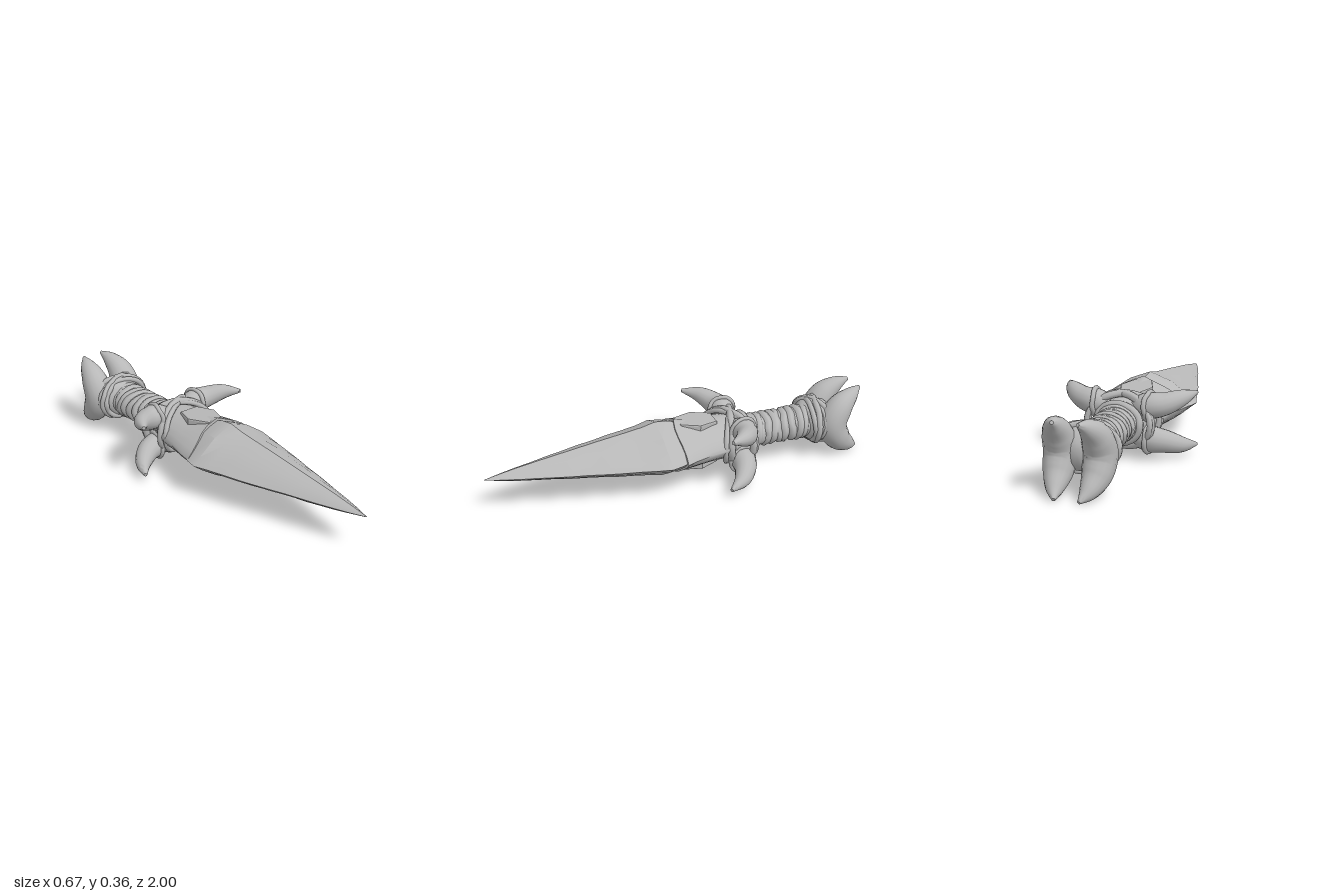
import * as THREE from 'three';
import { toCreasedNormals } from 'three/addons/utils/BufferGeometryUtils.js';

const stone = new THREE.MeshStandardMaterial({ color: 0xb8b8b8 });
stone.name = 'grey stone';

// Seeded noise in -1..1
let seed = 7;
const rand = () => {
  seed = (seed * 16807) % 2147483647;
  return (seed / 2147483647) * 2 - 1;
};
const V = (x, y, z) => new THREE.Vector3(x, y, z);

// Closed skin over equal-length rings of points
function skin(rings, crease) {
  const n = rings[0].length, last = rings.length - 1;
  const pos = [], idx = [];
  rings.forEach((ring) => ring.forEach((p) => pos.push(p.x, p.y, p.z)));
  for (let i = 0; i < last; i++) {
    for (let j = 0; j < n; j++) {
      const k = (j + 1) % n, a = i * n + j, b = i * n + k;
      idx.push(a, b, a + n, b, b + n, a + n);
    }
  }
  [0, last].forEach((r) => {
    const c = rings[r].reduce((s, p) => s.add(p), V(0, 0, 0)).divideScalar(n);
    const ci = pos.length / 3;
    pos.push(c.x, c.y, c.z);
    for (let j = 0; j < n; j++) {
      const a = r * n + j, b = r * n + ((j + 1) % n);
      idx.push(ci, r ? a : b, r ? b : a);
    }
  });
  const g = new THREE.BufferGeometry();
  g.setAttribute('position', new THREE.Float32BufferAttribute(pos, 3));
  g.setIndex(idx);
  return toCreasedNormals(g, crease);
}

// Superellipse ring: p = 1 is a diamond, p = 2 an ellipse
function ring(z, w, h, p, n, noise = 0) {
  return Array.from({ length: n }, (_, j) => {
    const a = (j / n) * Math.PI * 2, c = Math.cos(a), s = Math.sin(a);
    const f = 1 + rand() * noise;
    return V(Math.sign(c) * Math.abs(c) ** (2 / p) * w * f, Math.sign(s) * Math.abs(s) ** (2 / p) * h * f, z);
  });
}

// Tapered horn along a smooth path
function horn(points, radii, steps = 22, sides = 14) {
  const curve = new THREE.CatmullRomCurve3(points);
  const rc = new THREE.CatmullRomCurve3(radii.map((r, i) => V(i, r, 0)));
  const fr = curve.computeFrenetFrames(steps);
  const rings = [];
  for (let i = 0; i <= steps; i++) {
    // matching parameter for the radius at this arc length
    const t = curve.getUtoTmapping(i / steps);
    const c = curve.getPoint(t), r = Math.max(rc.getPoint(t).y, 0.004);
    rings.push(Array.from({ length: sides }, (_, j) => {
      const a = (j / sides) * Math.PI * 2;
      return c.clone().addScaledVector(fr.normals[i], Math.cos(a) * r).addScaledVector(fr.binormals[i], Math.sin(a) * r);
    }));
  }
  return skin(rings, 1.0);
}

// Cord looped round the shaft, slanted in z
function cord(z, w, h, slantX, slantY, r) {
  const pts = Array.from({ length: 16 }, (_, j) => {
    const a = (j / 16) * Math.PI * 2, c = Math.cos(a), s = Math.sin(a);
    return V(c * w, s * h, z + c * slantX + s * slantY + rand() * 0.004);
  });
  return new THREE.TubeGeometry(new THREE.CatmullRomCurve3(pts, true), 48, r, 7, true);
}

export function createModel() {
  seed = 7;
  const model = new THREE.Group();
  const body = new THREE.Group();
  body.name = 'dagger';
  body.position.y = 0.178;
  model.add(body);
  const add = (name, geo, parent = body) => {
    const m = new THREE.Mesh(geo, stone);
    m.name = name;
    parent.add(m);
    return m;
  };

  // Chipped blade: ridge, shoulder, uneven bevel and sharp edge
  const bladeRows = [[0, 0.2, 0.12], [0.07, 0.232, 0.14], [0.13, 0.246, 0.145], [0.2, 0.228, 0.128],
    [0.28, 0.21, 0.116], [0.36, 0.19, 0.105], [0.44, 0.168, 0.094], [0.52, 0.147, 0.082], [0.6, 0.124, 0.07],
    [0.68, 0.102, 0.058], [0.76, 0.08, 0.046], [0.84, 0.056, 0.033], [0.92, 0.03, 0.018], [0.998, 0.002, 0.002]];
  const bladeRings = bladeRows.map(([z, w, h]) => {
    const pts = [];
    [[1, 1], [-1, 1], [-1, -1], [1, -1]].forEach(([sx, sy], q) => {
      const bevel = 0.82 + rand() * 0.08, sh = 0.42 + rand() * 0.04;
      const quarter = [[1 + rand() * 0.02, 0], [bevel, 1.02 * (1 - bevel) + 0.08], [sh, 0.72], [0, 1]];
      const ordered = q % 2 ? [quarter[3], quarter[2], quarter[1]] : quarter.slice(0, 3);
      ordered.forEach(([x, y]) => pts.push(V(x * sx * w, y * sy * h, z)));
    });
    return pts;
  });
  add('blade', skin(bladeRings, 0.35));

  // Socket gripping the blade, with a wavy lip
  const socketRows = [[-0.39, 0.1, 0.088, 2], [-0.32, 0.13, 0.108, 1.9], [-0.2, 0.17, 0.11, 1.6],
    [-0.1, 0.187, 0.115, 1.5], [0, 0.215, 0.132, 1.35], [0.045, 0.232, 0.142, 1.25]];
  const socketRings = socketRows.map(([z, w, h, p]) => ring(z, w, h, p, 28, 0.012));
  socketRings[5].forEach((p) => { p.z += 0.012 * Math.sin(p.x * 22) - 0.012 * Math.cos(p.x * 12); });
  add('socket', skin(socketRings, 0.7));

  // Raised six-sided plates above and below
  const hex = [[-0.04, -0.015], [0.04, -0.005], [0.075, 0.08], [0.045, 0.175], [-0.045, 0.18], [-0.08, 0.09]];
  const plateGeo = new THREE.ExtrudeGeometry(new THREE.Shape(hex.map(([x, y]) => new THREE.Vector2(x, y))),
    { depth: 0.03, bevelEnabled: true, bevelSize: 0.008, bevelThickness: 0.008, bevelSegments: 2 });
  plateGeo.rotateX(-Math.PI / 2 - 0.06).translate(0, 0.09, 0);
  [0, Math.PI].forEach((turn) => { add('socketPlate', plateGeo).rotation.z = turn; });

  // Four guard horns sweeping forward
  for (const x of [1, -1]) {
    for (const y of [1, -1]) {
      add('guardHorn', horn([V(0.07 * x, 0.065 * y, -0.275), V(0.13 * x, 0.08 * y, -0.29), V(0.2 * x, 0.09 * y, -0.277),
        V(0.275 * x, 0.115 * y, -0.225), V(0.328 * x, 0.13 * y, -0.145)], [0.05, 0.064, 0.057, 0.04, 0.009]));
      add('guardCord', cord(0, 0.066, 0.066, 0, 0, 0.012))
        .position.set(0.135 * x, 0.08 * y, -0.29);
      body.children.at(-1).rotation.y = Math.PI / 2 + 0.1 * x;
    }
  }
  // Crossed cords over the guard
  for (const s of [1, -1]) {
    add('guardLashing', cord(-0.28, 0.16, 0.128, 0.06 * s, 0, 0.019));
    add('guardLashing', cord(-0.27, 0.16, 0.122, 0.085 * s, 0, 0.014));
  }
  add('guardCollar', cord(-0.35, 0.108, 0.09, 0.01, 0, 0.022));

  // Grip wrapped in uneven slanted strips
  add('grip', skin([[-0.74, 0.1], [-0.6, 0.09], [-0.48, 0.09], [-0.34, 0.1]]
    .map(([z, w]) => ring(z, w, w * 0.85, 2, 24, 0.02)), 0.9));
  for (let i = 0; i < 9; i++) {
    const strip = add('gripStrip', cord(0, 0.077 + rand() * 0.004, 0.063 + rand() * 0.004,
      0.016 + rand() * 0.012, 0.012 * rand(), 0.026));
    strip.position.z = -0.39 - i * 0.038;
  }

  // Pommel collar and crossed cords
  add('pommelCollar', skin([[-0.87, 0.05, 0.05], [-0.83, 0.11, 0.09], [-0.77, 0.14, 0.108], [-0.72, 0.125, 0.1], [-0.69, 0.09, 0.08]]
    .map(([z, w, h]) => ring(z, w, h, 2.1, 24, 0.02)), 0.9));
  for (const s of [1, -1]) {
    add('pommelLashing', cord(-0.765, 0.142, 0.108, 0.04 * s, 0, 0.016));
    add('pommelLashing', cord(-0.74, 0.13, 0.102, 0.03 * s, 0.01 * s, 0.014));
  }

  // Pommel: a pair of double-ended claws
  for (const x of [1, -1]) {
    add('pommelClaw', horn([V(0.058 * x, 0.17, -0.995), V(0.077 * x, 0.14, -0.935), V(0.09 * x, 0.085, -0.865),
      V(0.092 * x, 0, -0.825), V(0.09 * x, -0.085, -0.865), V(0.077 * x, -0.14, -0.935), V(0.058 * x, -0.17, -0.995)],
    [0.008, 0.042, 0.069, 0.078, 0.069, 0.042, 0.008], 32, 16));
  }
  return model;
}
